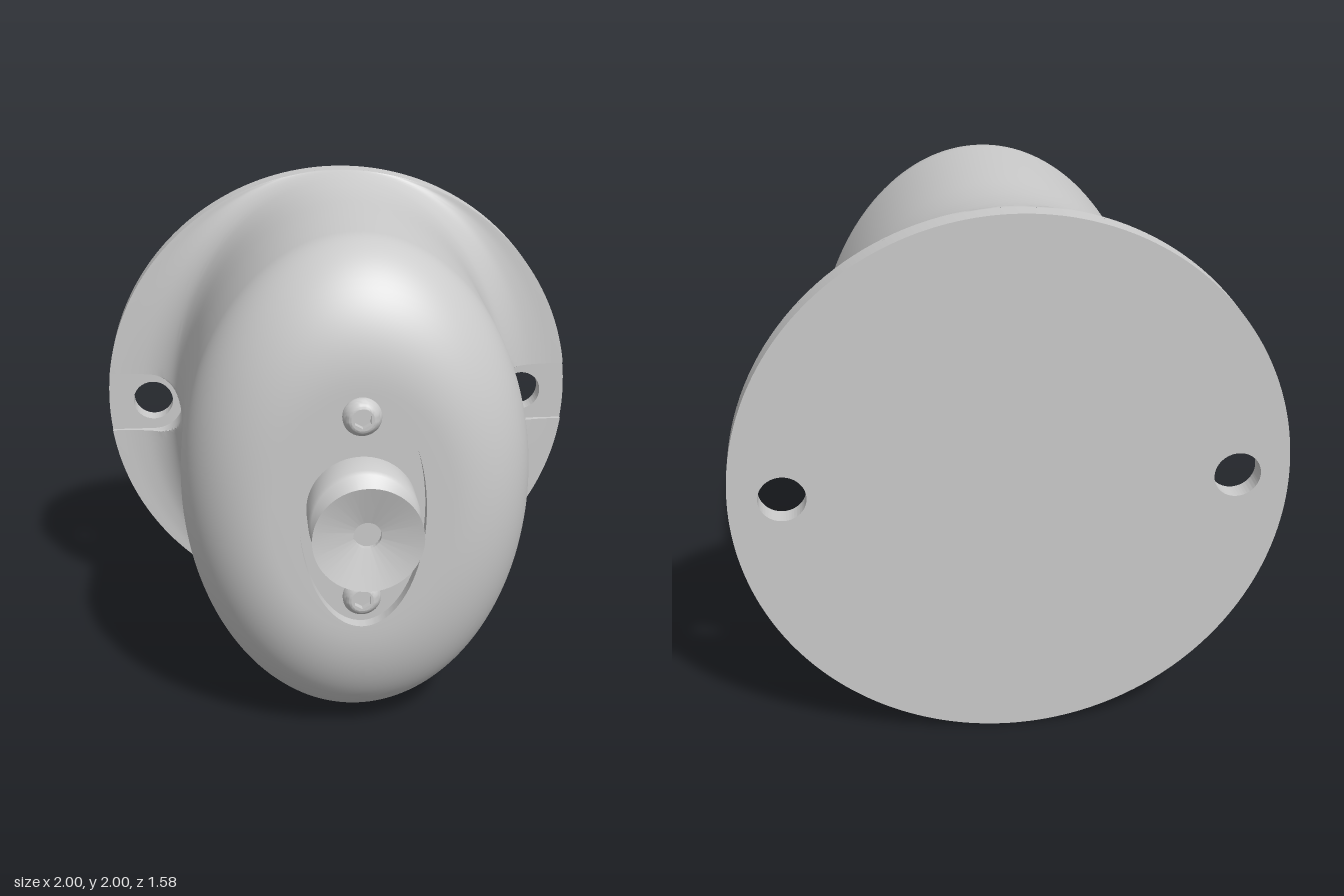
import * as THREE from 'three';
import { toCreasedNormals } from 'three/addons/utils/BufferGeometryUtils.js';

const material = new THREE.MeshStandardMaterial({ color: 0xcccccc });
const HOLE_X = 0.81, SLOT_R = 0.13, SLOT_Z = -0.715, FLOOR_Z = 0.505;

function part(name, geometry, crease = 0.6) {
  const mesh = new THREE.Mesh(toCreasedNormals(geometry, crease), material);
  mesh.name = name;
  return mesh;
}

// Turned part whose axis points along +z; profile is [radius, z]
function turned(name, profile, segments = 64) {
  const points = profile.map(([r, z]) => new THREE.Vector2(r, z));
  return part(name, new THREE.LatheGeometry(points, segments).rotateX(Math.PI / 2));
}

function circlePath(x, y, r) {
  return new THREE.Path().absarc(x, y, r, 0, Math.PI * 2, true);
}

// Elliptical section, notched on both sides by the U-shaped mounting slots
function section(a, b) {
  const points = [], t0 = b > 0 ? Math.asin(SLOT_R / b) : 0.1;
  const M = 24, N = 72;
  for (const turn of [0, Math.PI]) {
    const sign = turn ? -1 : 1;
    for (let i = 0; i <= M; i++) {
      const t = t0 * Math.sin((i / M - 0.5) * Math.PI);
      const y = b * Math.sin(t);
      const wall = HOLE_X - Math.sqrt(Math.max(0, SLOT_R ** 2 - y * y));
      points.push([sign * Math.min(a * Math.cos(t), wall), sign * y]);
    }
    for (let i = 0; i <= N; i++) {
      const t = turn + t0 + (Math.PI - 2 * t0) * i / N;
      points.push([a * Math.cos(t), b * Math.sin(t)]);
    }
  }
  return points;
}

// Loft through stations [halfWidth, halfHeight, z]
function loft(stations) {
  const positions = [], index = [];
  let count = 0;
  stations.forEach(([a, b, z], row) => {
    const ring = section(a, b);
    count = ring.length;
    ring.forEach(([x, y]) => positions.push(x, y, z));
    if (row === 0) return;
    for (let j = 0; j < count; j++) {
      const k = (j + 1) % count, lo = (row - 1) * count, hi = row * count;
      index.push(lo + j, lo + k, hi + k, lo + j, hi + k, hi + j);
    }
  });
  const geometry = new THREE.BufferGeometry();
  geometry.setAttribute('position', new THREE.Float32BufferAttribute(positions, 3));
  geometry.setIndex(index);
  return geometry;
}

function housingStations() {
  const stations = [[1, 1, SLOT_Z]];
  // Flare from the round flange to the oval body
  const flare = new THREE.CatmullRomCurve3([
    [1, 1, -0.7], [0.9, 0.999, -0.695], [0.82, 0.996, -0.68], [0.76, 0.991, -0.65],
    [0.72, 0.985, -0.61], [0.695, 0.978, -0.55], [0.68, 0.971, -0.47],
    [0.673, 0.966, -0.35], [0.67, 0.965, -0.2],
  ].map(p => new THREE.Vector3(...p)));
  flare.getPoints(40).forEach(p => stations.push([p.x, p.y, p.z]));
  // Rounded front edge
  for (let i = 0; i <= 20; i++) {
    const t = i / 20 * Math.PI / 2, k = 0.5 + 0.5 * Math.cos(t);
    stations.push([0.67 * k, 0.965 * k, 0.2 + 0.355 * Math.sin(t)]);
  }
  // Oval recess in the front face
  stations.push([0.235, 0.465, 0.555], [0.235, 0.465, FLOOR_Z], [0, 0, FLOOR_Z]);
  return stations;
}

function createScrew() {
  const screw = new THREE.Group();
  const dome = [[0.072, 0], [0.072, 0.012]];
  for (let i = 1; i <= 8; i++) {
    const t = i / 8;
    dome.push([0.072 - 0.03 * t, 0.012 + 0.032 * Math.sin(t * Math.PI / 2)]);
  }
  screw.add(turned('screwHead', dome, 40));
  // Flat top with a hexagonal socket
  const top = new THREE.Shape().absarc(0, 0, 0.042, 0, Math.PI * 2, false);
  const hex = [];
  for (let i = 0; i < 6; i++) {
    const t = -i * Math.PI / 3 + Math.PI / 6;
    hex.push(new THREE.Vector2(0.034 * Math.cos(t), 0.034 * Math.sin(t)));
  }
  top.holes.push(new THREE.Path(hex));
  const socket = part('screwSocket', new THREE.ExtrudeGeometry(top,
    { depth: 0.03, bevelEnabled: false, curveSegments: 20 }));
  socket.position.z = 0.014;
  const bottom = part('socketFloor', new THREE.CircleGeometry(0.04, 24));
  bottom.position.z = 0.018;
  screw.add(socket, bottom);
  return screw;
}

export function createModel() {
  const model = new THREE.Group();
  model.name = 'wallMountedHousing';
  const body = new THREE.Group();
  body.name = 'assembly';
  body.position.y = 1;
  model.add(body);

  // Back plate with two mounting holes
  const disc = new THREE.Shape().absarc(0, 0, 1, 0, Math.PI * 2, false);
  for (const s of [-1, 1]) disc.holes.push(circlePath(s * HOLE_X, 0, 0.085));
  const plate = part('backPlate', new THREE.ExtrudeGeometry(disc,
    { depth: 0.79 + SLOT_Z, bevelEnabled: false, curveSegments: 96 }));
  plate.position.z = -0.79;
  body.add(plate);

  body.add(part('housing', loft(housingStations())));

  // Knob with a narrow neck and a dished face
  body.add(turned('knob', [
    [0.205, FLOOR_Z], [0.205, 0.635], [0.195, 0.65], [0.09, 0.71], [0.09, 0.73],
    [0.2, 0.79], [0.05, 0.745], [0.05, 0.725], [0, 0.725],
  ]));

  for (const s of [-1, 1]) {
    const screw = createScrew();
    screw.name = s > 0 ? 'upperScrew' : 'lowerScrew';
    screw.position.set(0, s * 0.362, FLOOR_Z);
    body.add(screw);
  }
  return model;
}
